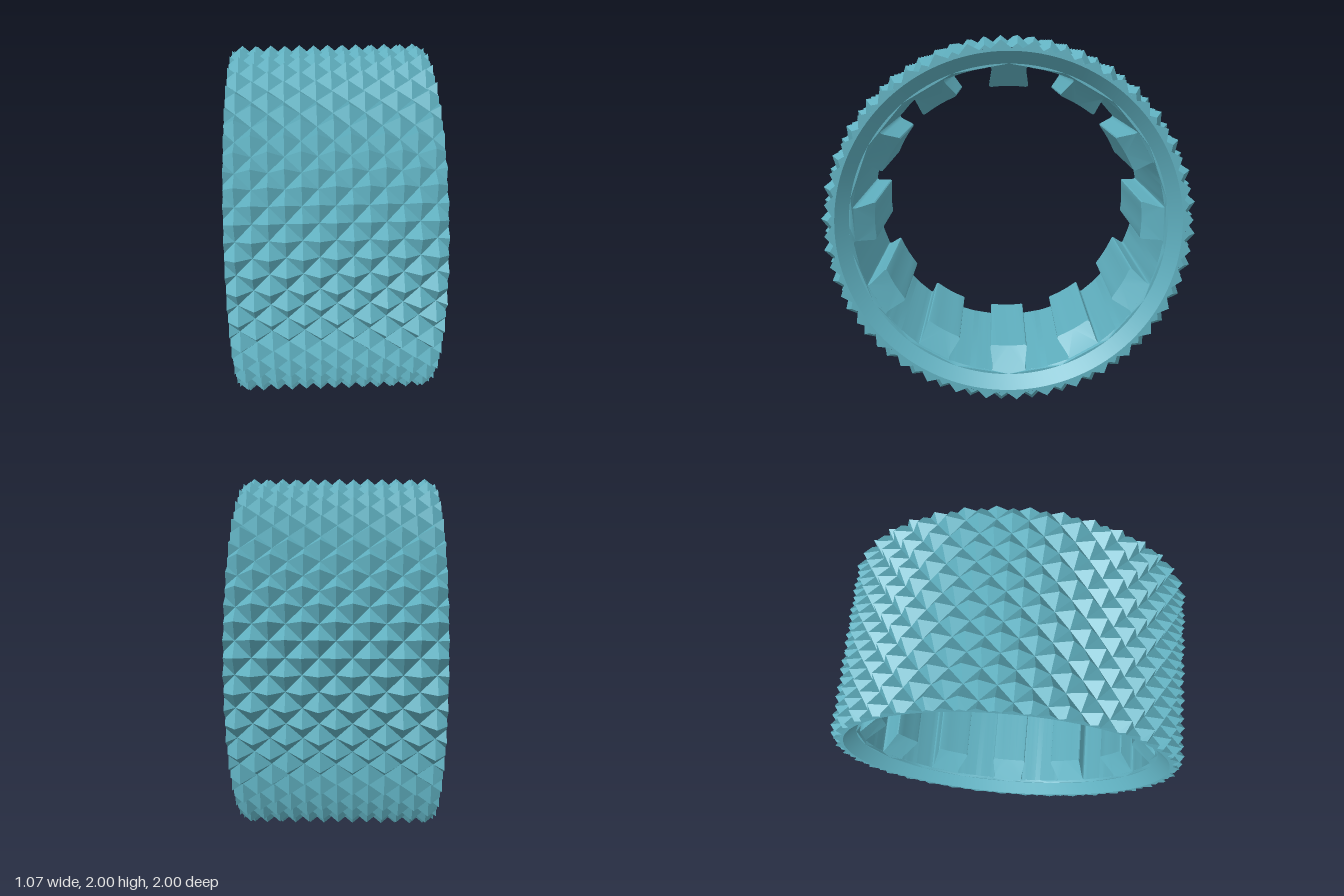
import * as THREE from 'three';
import { toCreasedNormals } from 'three/addons/utils/BufferGeometryUtils.js';

const HALF = 0.535;        // half the width along x
const BORE_EDGE = 0.92;    // radius where the 45 degree bore chamfer begins
const ROOT = 0.935, TIP = 1; // radii of the knurl valleys and points
const BAND = 0.855;        // radius joining the splined liner to the rims
const TEETH = 12, ROWS = 72, PITCH = 0.0805;

// Point on the ring: x along the axis, row counted around it
function ringPoint(x, row, r) {
  const a = ((row + 0.5) / ROWS) * Math.PI * 2;
  return new THREE.Vector3(x, r * Math.sin(a), r * Math.cos(a));
}

// Diamond knurl: staggered four-sided points, trimmed flat at both ends
function knurlGeometry() {
  const pos = [];
  const tri = (a, b, c, dir) => {
    const n = b.clone().sub(a).cross(c.clone().sub(a));
    const list = n.dot(dir) < 0 ? [a, c, b] : [a, b, c];
    list.forEach((p) => pos.push(p.x, p.y, p.z));
  };
  const full = Math.floor(HALF / PITCH);
  const t = HALF / PITCH - full;
  for (let j = 0; j < ROWS; j++) {
    const out = ringPoint(0, j + 0.5, 1);
    const node = (i, k) => ringPoint(i * PITCH, k, (i + k) % 2 === 0 ? TIP : ROOT);
    // Whole cells, split along the valley line
    for (let i = -full; i < full; i++) {
      const even = (i + j) % 2 === 0;
      const a = node(i, j), b = node(i + 1, j), c = node(i + 1, j + 1), d = node(i, j + 1);
      if (even) {
        tri(a, b, d, out);
        tri(c, d, b, out);
      } else {
        tri(b, c, a, out);
        tri(d, a, c, out);
      }
    }
    // Trimmed cells and the flat cut faces of the points
    for (const s of [-1, 1]) {
      const even = (full + j) % 2 === 0;
      const jp = even ? j : j + 1, jv = even ? j + 1 : j;
      const x = s * HALF, axis = new THREE.Vector3(s, 0, 0);
      const peak = ringPoint(s * full * PITCH, jp, TIP);
      const valley = ringPoint(s * full * PITCH, jv, ROOT);
      const cutPeak = ringPoint(x, jp, TIP + (ROOT - TIP) * t);
      const cutLow = ringPoint(x, jp + (jv - jp) * (1 - t), ROOT);
      const cutNext = ringPoint(x, jv, ROOT + (TIP - ROOT) * t);
      tri(peak, cutPeak, cutLow, out);
      tri(peak, cutLow, valley, out);
      tri(valley, cutLow, cutNext, out);
      tri(cutPeak, cutLow, ringPoint(x, jp, ROOT), axis);
      tri(cutNext, cutLow, ringPoint(x, jv, ROOT), axis);
    }
  }
  const g = new THREE.BufferGeometry();
  g.setAttribute('position', new THREE.Float32BufferAttribute(pos, 3));
  g.computeVertexNormals();
  return g;
}

// Liner with dovetail splines; its ends follow the 45 degree chamfer
function linerGeometry() {
  const shape = new THREE.Shape();
  shape.absarc(0, 0, BAND, 0, Math.PI * 2, false);

  // Right half of one tooth as [across, radius], from tip to groove floor
  const half = [[0, 0.735], [0.045, 0.7335], [0.09, 0.7295], [0.1, 0.731], [0.104, 0.738],
    [0.091, 0.815], [0.0905, 0.828], [0.095, 0.836], [0.104, 0.836], [0.125, 0.8305]];
  const tooth = [...half.slice(1).reverse().map(([w, r]) => [-w, r]), ...half];
  const pts = [];
  for (let k = 0; k < TEETH; k++) {
    const a = (k / TEETH) * Math.PI * 2;
    for (const [w, r] of tooth) {
      pts.push(new THREE.Vector2(w * Math.cos(a) + r * Math.sin(a), r * Math.cos(a) - w * Math.sin(a)));
    }
    // Groove floor arc up to the next tooth
    for (let m = -2; m <= 2; m++) {
      const b = a + Math.PI / TEETH + m * 0.04;
      pts.push(new THREE.Vector2(0.84 * Math.sin(b), 0.84 * Math.cos(b)));
    }
  }
  shape.holes.push(new THREE.Path(pts));

  const g = new THREE.ExtrudeGeometry(shape, { depth: 1, bevelEnabled: false, curveSegments: 144 });
  const p = g.attributes.position;
  for (let i = 0; i < p.count; i++) {
    const r = Math.hypot(p.getX(i), p.getY(i));
    const end = HALF - (BORE_EDGE - r);
    p.setZ(i, p.getZ(i) > 0.5 ? end : -end);
  }
  g.rotateY(Math.PI / 2);
  return toCreasedNormals(g, 0.6);
}

// Chamfered rim with a narrow flat edge below the knurl
function rimGeometry() {
  const profile = [[ROOT, HALF], [BORE_EDGE, HALF], [BAND, HALF - (BORE_EDGE - BAND)]];
  const g = new THREE.LatheGeometry(profile.map(([r, y]) => new THREE.Vector2(r, y)), 144);
  g.rotateZ(-Math.PI / 2);
  return toCreasedNormals(g, 0.5);
}

export function createModel() {
  const group = new THREE.Group();
  group.name = 'knurledRing';
  const smooth = new THREE.MeshStandardMaterial({ color: 0x5fafbf });
  const faceted = new THREE.MeshStandardMaterial({ color: 0x5fafbf, flatShading: true });
  const add = (name, geometry, material) => {
    const mesh = new THREE.Mesh(geometry, material);
    mesh.name = name;
    mesh.position.y = 1;
    group.add(mesh);
    return mesh;
  };
  add('knurledSurface', knurlGeometry(), faceted);
  add('splinedLiner', linerGeometry(), smooth);
  const rim = rimGeometry();
  add('leftRim', rim, smooth);
  add('rightRim', rim, smooth).rotation.z = Math.PI;
  return group;
}
